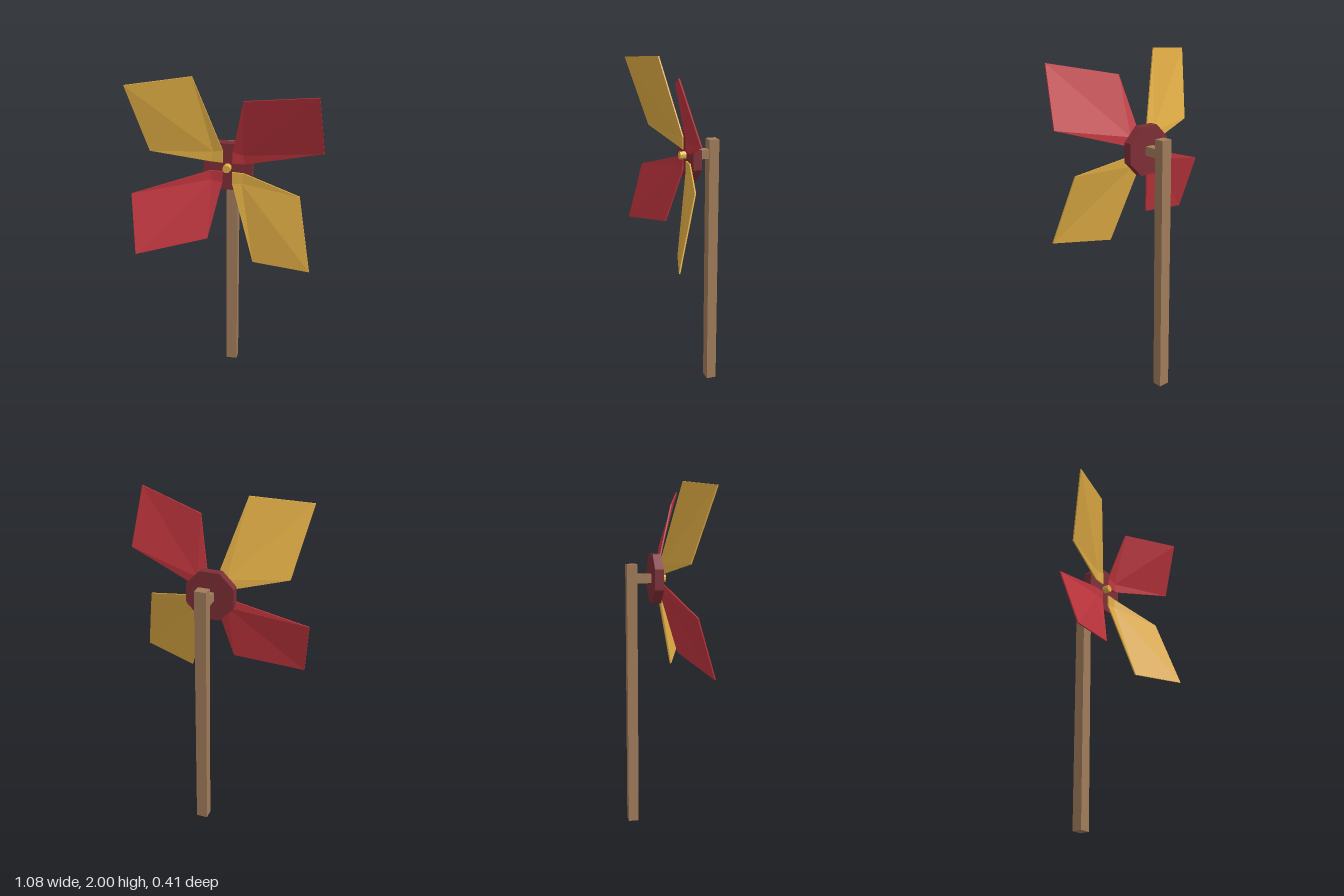
import * as THREE from 'three';

const HUB_Y = 1.462;
const mat = (color) => new THREE.MeshStandardMaterial({ color, flatShading: true });
const wood = mat(0xa07b59), maroon = mat(0x7c2d35), red = mat(0xc0353e), gold = mat(0xe2ae45);

function add(parent, name, geometry, material, x = 0, y = 0, z = 0) {
  const mesh = new THREE.Mesh(geometry, material);
  mesh.name = name;
  mesh.position.set(x, y, z);
  parent.add(mesh);
  return mesh;
}

// Short prism with its axis along z and flat sides facing x and y
function prism(radius, depth, sides) {
  return new THREE.CylinderGeometry(radius, radius, depth, sides)
    .rotateY(Math.PI / sides).rotateX(Math.PI / 2);
}

// Folded sail: a fan of facets round the crease point, with a thin edge
function bladeGeometry(thickness = 0.008) {
  const crease = [0.09, 0.08, -0.001];
  const rim = [
    [0.027, 0.027, -0.002], [0.1, 0.027, -0.002], [0.54, 0.168, 0.095],
    [0.505, 0.505, 0.2], [0.102, 0.42, 0.083], [0.03, 0.095, -0.002],
  ];
  const back = ([x, y, z]) => [x, y, z - thickness];
  const corners = [];
  rim.forEach((a, i) => {
    const b = rim[(i + 1) % rim.length];
    corners.push(crease, a, b);
    corners.push(back(crease), back(b), back(a));
    corners.push(a, back(a), back(b), a, back(b), b);
  });
  const geometry = new THREE.BufferGeometry();
  geometry.setAttribute('position', new THREE.Float32BufferAttribute(corners.flat(), 3));
  geometry.computeVertexNormals();
  return geometry;
}

export function createModel() {
  const model = new THREE.Group();
  model.name = 'pinwheel';

  // Stand
  add(model, 'post', new THREE.BoxGeometry(0.068, 1.545, 0.06), wood, 0, 0.7725, -0.175);
  add(model, 'axle', new THREE.BoxGeometry(0.054, 0.052, 0.09), wood, 0, HUB_Y, -0.102);

  // Wheel
  const wheel = new THREE.Group();
  wheel.name = 'wheel';
  wheel.position.y = HUB_Y;
  model.add(wheel);
  add(wheel, 'hub', prism(0.14 / Math.cos(Math.PI / 8), 0.05, 8), maroon, 0, 0, -0.036);
  add(wheel, 'pin', prism(0.023, 0.038, 8), gold, 0, 0, 0.006);

  // Four blades in alternating colours
  const blade = bladeGeometry();
  for (let i = 0; i < 4; i++) {
    add(wheel, 'blade' + (i + 1), blade, i % 2 ? gold : red).rotation.z = i * Math.PI / 2;
  }
  return model;
}
